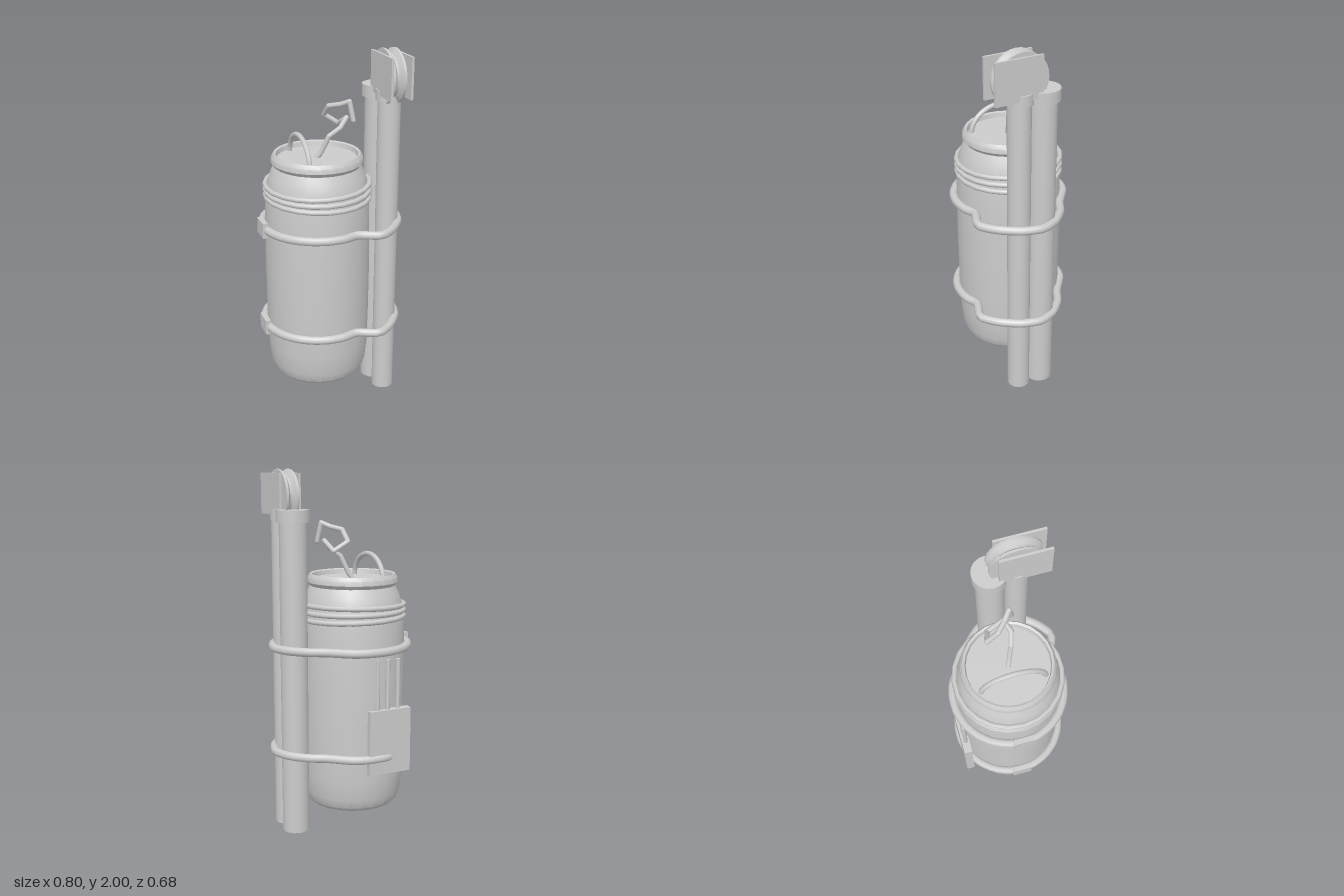
import * as THREE from 'three';
import { toCreasedNormals } from 'three/addons/utils/BufferGeometryUtils.js';

const grey = new THREE.MeshStandardMaterial({ color: 0xcccccc });
grey.name = 'plain grey';

const BX = -0.07, BZ = -0.01; // barrel axis

export function createModel() {
  const group = new THREE.Group();

  const add = (name, geo, x = 0, y = 0, z = 0) => {
    const mesh = new THREE.Mesh(geo, grey);
    mesh.name = name;
    mesh.position.set(x, y, z);
    group.add(mesh);
    return mesh;
  };
  const lathe = (pts, sides, crease = 0.5) =>
    toCreasedNormals(new THREE.LatheGeometry(pts.map(p => new THREE.Vector2(...p)), sides), crease);
  const box = (name, x0, x1, y0, y1, z0, z1) =>
    add(name, new THREE.BoxGeometry(x1 - x0, y1 - y0, z1 - z0), (x0 + x1) / 2, (y0 + y1) / 2, (z0 + z1) / 2);
  const vec = pts => pts.map(p => new THREE.Vector3(...p));
  const rod = (name, r, y0, y1, x, z, sides = 24) =>
    add(name, new THREE.CylinderGeometry(r, r, y1 - y0, sides), x, (y0 + y1) / 2, z);

  // Barrel: closed bottom, bulging wall, shoulder, rolled lip and recessed lid
  add('barrel', lathe([
    [0, 0.14], [0.243, 0.14], [0.262, 0.16], [0.277, 0.21], [0.287, 0.32], [0.291, 0.5],
    [0.293, 0.75], [0.291, 1.0], [0.286, 1.2], [0.274, 1.28], [0.258, 1.33], [0.237, 1.375],
    [0.252, 1.395], [0.249, 1.42], [0.236, 1.44], [0.224, 1.435], [0.219, 1.41], [0, 1.41],
  ], 24), BX, 0, BZ);

  // Rope wound three times below the shoulder
  for (let i = 0; i < 3; i++) {
    const ring = add('ropeRing', new THREE.TorusGeometry(0.286, 0.014, 8, 22), BX, 1.2 + i * 0.036, BZ);
    ring.rotation.x = Math.PI / 2 + 0.02;
    ring.rotation.y = (i - 1) * 0.02;
  }

  // Straps around the barrel and both pipes, each with a buckle
  const path = [];
  for (let i = 0; i <= 14; i++) {
    const a = THREE.MathUtils.degToRad(65 + i * (230 / 14));
    path.push([BX + Math.cos(a) * 0.308, 0, BZ + Math.sin(a) * 0.308]);
  }
  path.push([0.18, 0, -0.19], [0.26, 0, -0.145], [0.335, 0, -0.07], [0.37, 0, 0.005],
    [0.376, 0, 0.055], [0.345, 0, 0.15], [0.27, 0, 0.25], [0.178, 0, 0.315]);
  const strapCurve = new THREE.CatmullRomCurve3(vec(path), true, 'catmullrom', 0.3);
  for (const y of [0.455, 1.045]) {
    add('strap', new THREE.TubeGeometry(strapCurve, 60, 0.024, 8, true), 0, y, 0);
    box('buckle', -0.4, -0.372, y - 0.043, y + 0.043, -0.065, 0.045);
  }

  // Two standing pipes with collars
  rod('largePipe', 0.075, 0, 1.75, 0.283, -0.007);
  rod('largePipeCollar', 0.091, 1.725, 1.79, 0.283, -0.007);
  rod('smallPipe', 0.062, 0, 1.75, 0.285, 0.13);
  rod('smallPipeCollar', 0.07, 1.73, 1.79, 0.283, 0.125);

  // Grooved pulley wheel between two cheek plates
  const wheel = add('pulleyWheel', lathe([
    [0, -0.037], [0.145, -0.037], [0.145, -0.024], [0.118, -0.006], [0.118, 0.006],
    [0.145, 0.024], [0.145, 0.037], [0, 0.037],
  ], 28), 0.282, 1.856, 0.126);
  wheel.rotation.z = Math.PI / 2;
  for (const x of [0.22, 0.33]) box('pulleyPlate', x, x + 0.013, 1.76, 1.98, 0.027, 0.295);

  // Arched handle on the lid
  const arch = [];
  for (let i = 0; i <= 12; i++) {
    const a = (i / 12) * Math.PI;
    arch.push([-0.17, 1.4 + Math.sin(a) * 0.142, BZ - Math.cos(a) * 0.172]);
  }
  add('handle', new THREE.TubeGeometry(new THREE.CatmullRomCurve3(vec(arch)), 24, 0.014, 8));

  // Bent hook rising out of the lid
  const hook = vec([
    [-0.075, 1.4, -0.012], [-0.05, 1.44, 0], [-0.013, 1.53, 0.02], [0.045, 1.575, 0.037],
    [0.092, 1.62, 0.008], [0.077, 1.57, -0.078], [0.003, 1.62, -0.1], [0.008, 1.68, -0.04],
    [0.058, 1.695, 0.008], [0.096, 1.715, 0.04], [0.112, 1.615, 0.057],
  ]);
  const hookGroup = new THREE.Group();
  hookGroup.name = 'hook';
  group.add(hookGroup);
  for (let i = 0; i < hook.length - 1; i++) {
    const dir = hook[i + 1].clone().sub(hook[i]);
    const seg = new THREE.Mesh(new THREE.CylinderGeometry(0.014, 0.014, dir.length(), 8), grey);
    const joint = new THREE.Mesh(new THREE.SphereGeometry(0.014, 8, 6), grey);
    seg.name = 'hookSegment';
    joint.name = 'hookJoint';
    seg.position.copy(hook[i]).addScaledVector(dir, 0.5);
    seg.quaternion.setFromUnitVectors(new THREE.Vector3(0, 1, 0), dir.normalize());
    joint.position.copy(hook[i + 1]);
    hookGroup.add(seg, joint);
  }

  // Pouch on the back holding three thin rods
  box('backPouch', -0.27, -0.02, 0.365, 0.725, -0.325, -0.28);
  for (let i = -1; i <= 1; i++) rod('pouchRod', 0.012, 0.5, 1.0, -0.138 + i * 0.062, -0.302, 10);

  return group;
}
